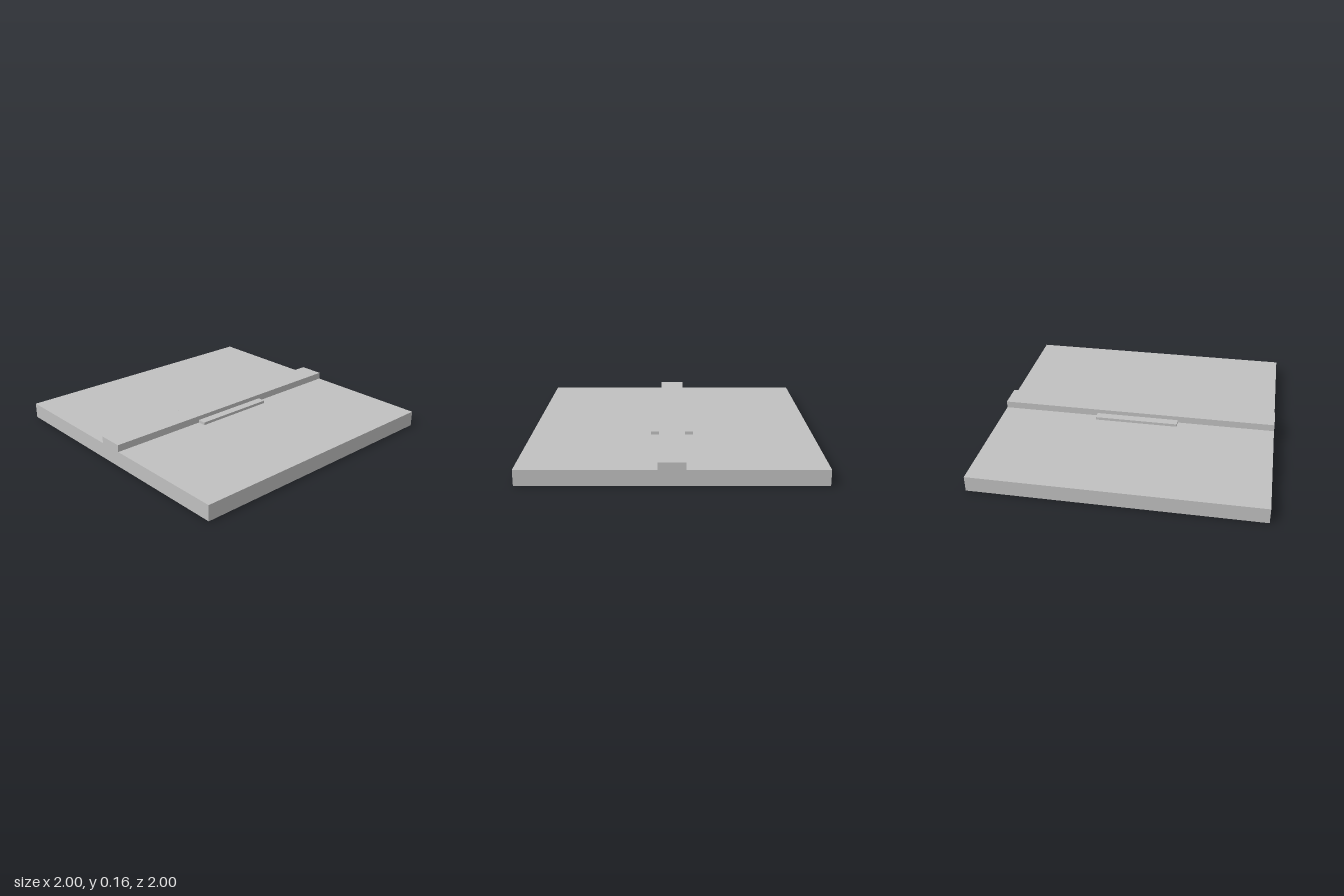
import * as THREE from 'three';

export function createModel() {
  const group = new THREE.Group();
  const grey = new THREE.MeshStandardMaterial({ color: 0xc0c0c0 });
  grey.name = 'plain grey';

  // Box given by its limits on each axis
  const block = (name, [x0, x1], [y0, y1], [z0, z1]) => {
    const mesh = new THREE.Mesh(new THREE.BoxGeometry(x1 - x0, y1 - y0, z1 - z0), grey);
    mesh.position.set((x0 + x1) / 2, (y0 + y1) / 2, (z0 + z1) / 2);
    mesh.name = name;
    group.add(mesh);
  };

  const under = 0.05, top = 0.11, rim = 0.02, rib = 0.01;
  const ridge = 0.09, inner = 1 - rim;

  // Deck, rims along the front and back, and raised ridge share one cross-section
  const half = [
    [ridge, 0], [ridge, under], [inner, under], [inner, 0],
    [1, 0], [1, top], [ridge, top], [ridge, 0.16],
  ];
  const outline = [...half, ...half.map(([z, y]) => [-z, y]).reverse()];
  const section = new THREE.Shape(outline.map(([z, y]) => new THREE.Vector2(z, y)));
  const deckGeometry = new THREE.ExtrudeGeometry(section, { depth: 2, bevelEnabled: false });
  deckGeometry.translate(0, 0, -1).rotateY(Math.PI / 2);
  const deck = new THREE.Mesh(deckGeometry, grey);
  deck.name = 'deckWithRidge';
  group.add(deck);

  for (const s of [-1, 1]) {
    const span = (a, b) => (s > 0 ? [a, b] : [-b, -a]);
    // Step beside the ridge, reaching through the deck
    block('ridgeStep', [-0.3, 0.3], [0, 0.13], span(ridge, 0.15));
    // Long rib on the underside
    block('longRib', [-inner, inner], [0, under], span(0.34 - rib, 0.34 + rib));
    for (const side of [-1, 1]) {
      // Side rim and cross rib on either side of the ridge
      const x = side / 3;
      block('sideRim', side > 0 ? [inner, 1] : [-1, -inner], [0, under], span(ridge, inner));
      block('crossRib', [x - rib, x + rib], [0, under], span(ridge, inner));
    }
  }
  return group;
}
